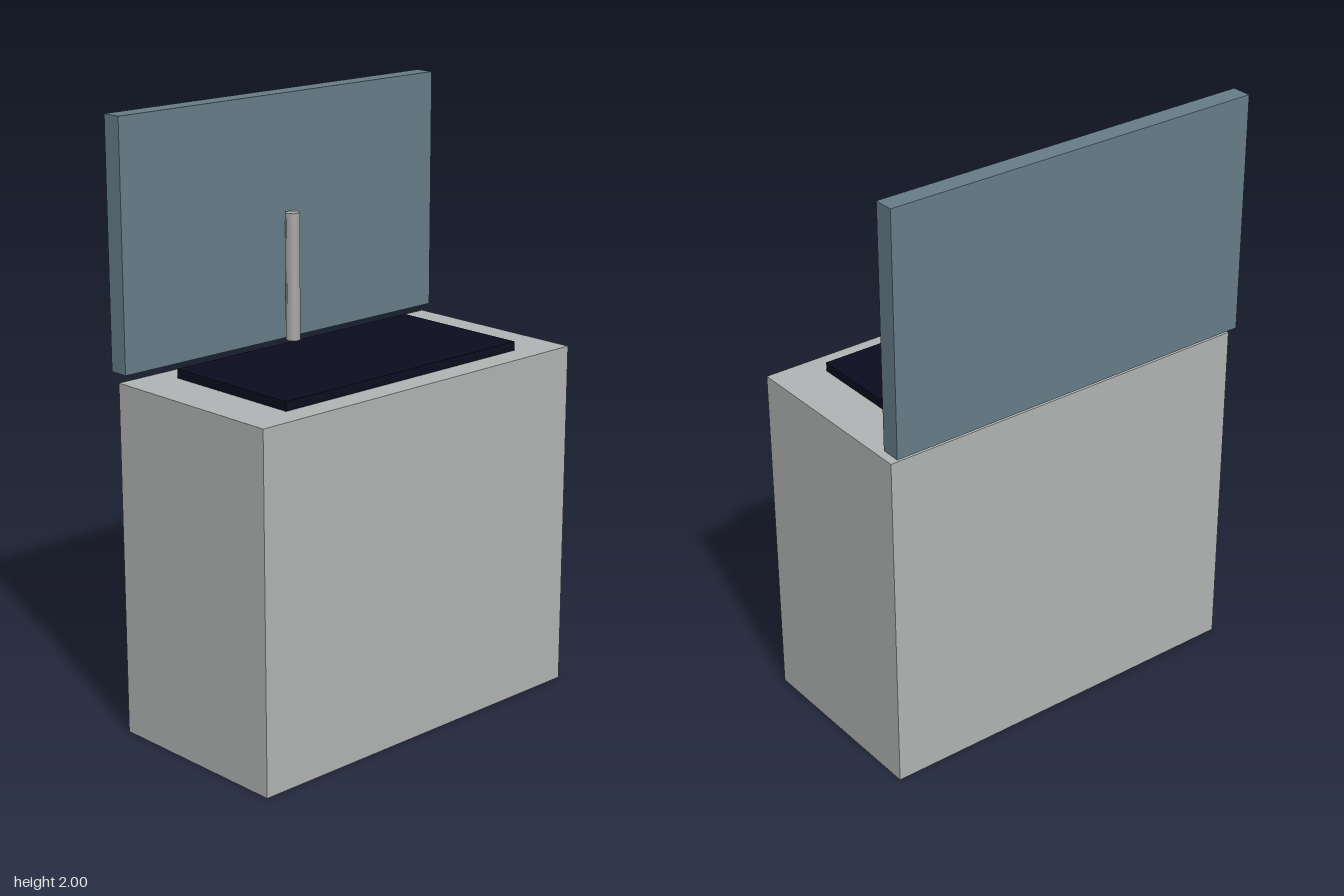
import * as THREE from 'three';

const paint = (name, color) => {
  const m = new THREE.MeshStandardMaterial({ color });
  m.name = name;
  return m;
};

export function createModel() {
  const group = new THREE.Group();
  const stone = paint('light grey', 0xb0b3b3);
  const dark = paint('dark navy', 0x0c0c1f);
  const slate = paint('slate blue', 0x667c88);
  const metal = paint('metal grey', 0xaaaaaa);

  const add = (name, geometry, material, x, y, z) => {
    const mesh = new THREE.Mesh(geometry, material);
    mesh.name = name;
    mesh.position.set(x, y, z);
    group.add(mesh);
    return mesh;
  };

  // Box given by its width and its y and z ranges
  const addBox = (name, material, width, y0, y1, z0, z1) =>
    add(name, new THREE.BoxGeometry(width, y1 - y0, z1 - z0), material,
      0, (y0 + y1) / 2, (z0 + z1) / 2);

  addBox('cabinet', stone, 1.333, 0, 1.17, -0.317, 0.35);
  addBox('basin', dark, 1.0, 1.17, 1.2, -0.235, 0.265);
  addBox('backPanel', slate, 1.333, 1.2, 2, -0.35, -0.283);

  // Six-sided post with corners pointing left and right
  const post = add('post', new THREE.CylinderGeometry(0.025, 0.025, 0.42, 6),
    metal, 0, 1.41, -0.25);
  post.rotation.y = Math.PI / 6;

  return group;
}
